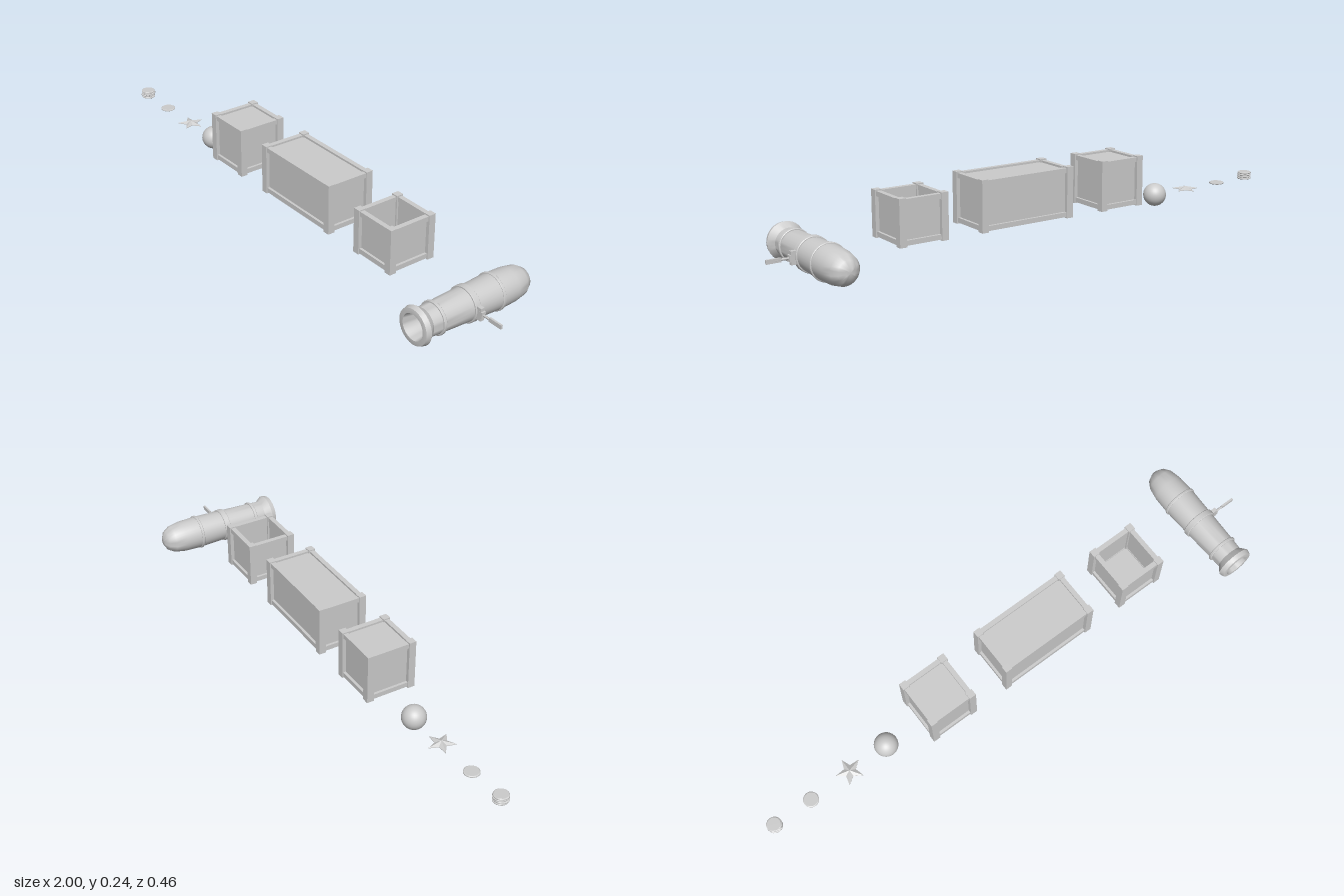
import * as THREE from 'three';
import { toCreasedNormals } from 'three/addons/utils/BufferGeometryUtils.js';

const BASE = 0.063; // shared floor level of the crates and small items
const material = new THREE.MeshStandardMaterial({ color: 0xcccccc, side: THREE.DoubleSide });

function add(parent, name, geometry, x = 0, y = 0, z = 0) {
  const mesh = new THREE.Mesh(geometry, material);
  mesh.name = name;
  mesh.position.set(x, y, z);
  parent.add(mesh);
  return mesh;
}

const box = (parent, name, w, h, d, x, y, z) =>
  add(parent, name, new THREE.BoxGeometry(w, h, d), x, y, z);

// Corner posts, slightly recessed rails, and panels set further in
function crate(name, w, h, d, hasLid) {
  const g = new THREE.Group();
  g.name = name;
  const post = 0.025, rail = 0.017, inset = 0.004, wall = 0.006, panelInset = 0.013;
  for (const sx of [-1, 1]) {
    for (const sz of [-1, 1]) {
      box(g, 'cornerPost', post, h, post, sx * (w - post) / 2, h / 2, sz * (d - post) / 2);
    }
  }
  for (const s of [-1, 1]) {
    for (const y of [inset + rail / 2, h - inset - rail / 2]) {
      box(g, 'longRail', w - 2 * post, rail, rail, 0, y, s * (d / 2 - inset - rail / 2));
      box(g, 'sideRail', rail, rail, d - 2 * post, s * (w / 2 - inset - rail / 2), y, 0);
    }
    const ph = h - 2 * inset - rail;
    box(g, 'longPanel', w - 2 * panelInset, ph, wall, 0, h / 2, s * (d / 2 - panelInset - wall / 2));
    box(g, 'sidePanel', wall, ph, d - 2 * panelInset, s * (w / 2 - panelInset - wall / 2), h / 2, 0);
  }
  const pw = w - 2 * panelInset, pd = d - 2 * panelInset;
  box(g, 'floorPanel', pw, wall, pd, 0, panelInset + wall / 2 - 0.002, 0);
  if (hasLid) box(g, 'lidPanel', pw, wall, pd, 0, h - panelInset - wall / 2 + 0.002, 0);
  return g;
}

// Thin disc with a bevelled rim
function coin(parent, x, y, z, r = 0.027, t = 0.007) {
  const pts = [[0, 0], [r * 0.88, 0], [r, t * 0.3], [r, t * 0.7], [r * 0.88, t], [0, t]]
    .map(p => new THREE.Vector2(...p));
  add(parent, 'coin', toCreasedNormals(new THREE.LatheGeometry(pts, 16), 0.5), x, y, z);
}

// Five-pointed star with a raised centre and a flat underside
function star(outer, inner, height) {
  const rim = [];
  for (let i = 0; i < 10; i++) {
    const a = i * Math.PI / 5, r = i % 2 ? inner : outer;
    rim.push([Math.sin(a) * r, 0.002, -Math.cos(a) * r]);
  }
  const v = [];
  rim.forEach((p, i) => {
    const q = rim[(i + 1) % 10];
    const p0 = [p[0], 0, p[2]], q0 = [q[0], 0, q[2]];
    v.push(...q, ...p, 0, height, 0);
    v.push(...p0, ...q0, 0, 0, 0);
    v.push(...p, ...q, ...q0, ...p, ...q0, ...p0);
  });
  const geo = new THREE.BufferGeometry();
  geo.setAttribute('position', new THREE.Float32BufferAttribute(v, 3));
  geo.computeVertexNormals();
  return geo;
}

// Turned part around the z axis; profile is [radius, z], listed from rear to front
function turned(parent, name, profile, crease = 0.6) {
  const geo = new THREE.LatheGeometry(profile.map(p => new THREE.Vector2(...p)), 32);
  geo.rotateX(Math.PI / 2);
  add(parent, name, toCreasedNormals(geo, crease));
}

function cannon() {
  const g = new THREE.Group();
  g.name = 'cannon';
  // Rounded breech, tapering barrel, flared muzzle, then back down the bore
  turned(g, 'barrel', [
    [0, -0.228], [0.015, -0.227], [0.036, -0.215], [0.05, -0.192], [0.0575, -0.15],
    [0.0595, -0.085], [0.055, 0.03], [0.0505, 0.14], [0.048, 0.188], [0.0645, 0.211],
    [0.06, 0.2275], [0.056, 0.2285], [0.044, 0.2285], [0.038, 0.19], [0.037, 0.0], [0, 0.0],
  ]);
  // Raised bands: [z centre, width, radius]
  for (const [z, w, r] of [[-0.085, 0.01, 0.063], [0.022, 0.022, 0.0605], [0.147, 0.011, 0.0555]]) {
    const a = z - w / 2, b = z + w / 2, c = 0.002;
    turned(g, 'band', [[0.045, a], [r - c, a], [r, a + c], [r, b - c], [r - c, b], [0.045, b]]);
  }
  // Side handle on the middle band
  const z = 0.022;
  box(g, 'handleBracket', 0.018, 0.044, 0.014, 0.066, 0, z);
  box(g, 'handleHub', 0.012, 0.022, 0.016, 0.074, 0, z);
  const rod = add(g, 'handleRod', new THREE.CylinderGeometry(0.004, 0.004, 0.05, 8), 0.1, 0, z);
  rod.rotation.z = Math.PI / 2;
  box(g, 'handleGrip', 0.05, 0.014, 0.007, 0.13, 0, z);
  return g;
}

export function createModel() {
  const model = new THREE.Group();
  model.name = 'cannonAndSupplies';
  const z = 0.012;

  // Row of crates: closed, long closed, open
  for (const [name, x, w, h, d, lid] of [
    ['closedCrate', -0.296, 0.18, 0.178, 0.181, true],
    ['longCrate', 0.102, 0.367, 0.178, 0.181, true],
    ['openCrate', 0.503, 0.179, 0.159, 0.18, false],
  ]) {
    const c = crate(name, w, h, d, lid);
    c.position.set(x, BASE, z);
    model.add(c);
  }

  add(model, 'cannonball', new THREE.SphereGeometry(0.0415, 32, 20), -0.521, 0.064, z);
  add(model, 'star', star(0.048, 0.021, 0.012), -0.671, BASE, z + 0.002);

  // Single coin and a small uneven stack
  coin(model, -0.829, BASE, 0.016);
  const stack = new THREE.Group();
  stack.name = 'coinStack';
  [[0.001, 0], [-0.001, 0.001], [0.0015, -0.001], [-0.0005, 0]].forEach(([dx, dz], i) =>
    coin(stack, dx, i * 0.007, dz, 0.0255));
  stack.position.set(-0.973, BASE, 0.017);
  model.add(stack);

  const gun = cannon();
  gun.position.set(0.845, 0.0645, 0);
  model.add(gun);
  return model;
}
